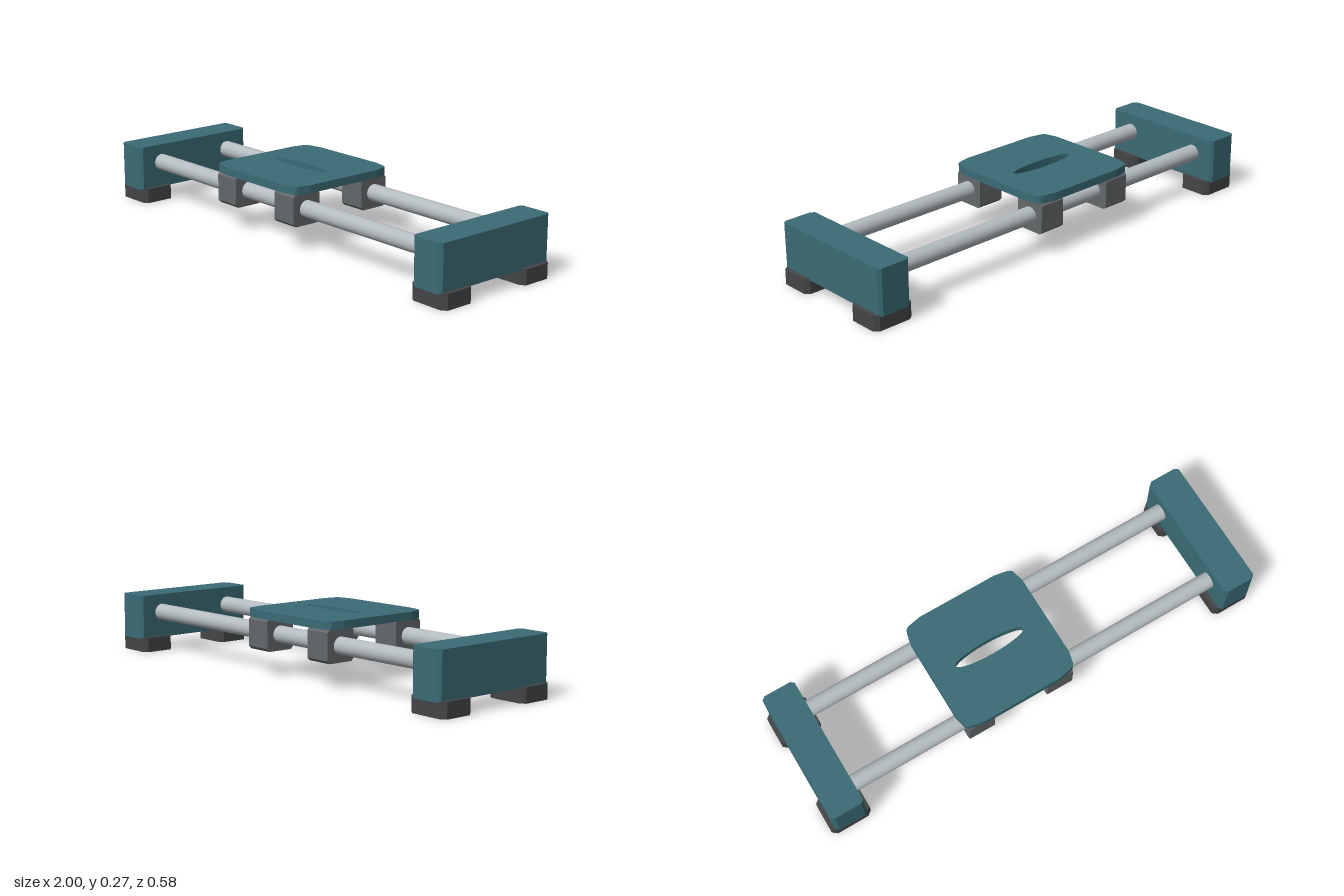
import * as THREE from 'three';

const mat = (color) => new THREE.MeshStandardMaterial({ color });

// Rectangle outline with cut corners (cx along x, cy along y)
function cutRect(w, h, cx, cy) {
  const x = w / 2, y = h / 2;
  return new THREE.Shape([
    [-x + cx, -y], [x - cx, -y], [x, -y + cy], [x, y - cy],
    [x - cx, y], [-x + cx, y], [-x, y - cy], [-x, -y + cy],
  ].map(([a, b]) => new THREE.Vector2(a, b)));
}

// Extrude a plan outline upward from y0 to y1
function slab(shape, y0, y1) {
  const g = new THREE.ExtrudeGeometry(shape, { depth: y1 - y0, bevelEnabled: false, curveSegments: 24 });
  return g.rotateX(-Math.PI / 2).translate(0, y0, 0);
}

export function createModel() {
  const model = new THREE.Group();
  const teal = mat(0x3a6b75), steel = mat(0xb4bcc0), rubber = mat(0x434547), bearingGrey = mat(0x64686a);
  const add = (name, geo, material, x = 0, y = 0, z = 0) => {
    const m = new THREE.Mesh(geo, material);
    m.name = name;
    m.position.set(x, y, z);
    model.add(m);
  };

  const railY = 0.17, railZ = 0.18, carriageX = -0.103;

  // End blocks, each on two feet
  const blockGeo = slab(cutRect(0.144, 0.578, 0.014, 0.012), 0.058, 0.248);
  const footGeo = slab(cutRect(0.178, 0.149, 0.02, 0.016), 0, 0.063);
  for (const sx of [-1, 1]) {
    add('endBlock', blockGeo, teal, sx * 0.911);
    for (const sz of [-1, 1]) add('foot', footGeo, rubber, sx * 0.911, 0, sz * 0.2075);
  }

  // Two round rails, and the bearings that slide on them
  const railGeo = new THREE.CylinderGeometry(0.035, 0.035, 1.72, 32).rotateZ(Math.PI / 2);
  const bearingGeo = new THREE.ExtrudeGeometry(cutRect(0.134, 0.134, 0.012, 0.012), { depth: 0.118, bevelEnabled: false });
  bearingGeo.translate(0, 0, -0.059).rotateY(Math.PI / 2);
  for (const sz of [-1, 1]) {
    add('rail', railGeo, steel, 0, railY, sz * railZ);
    for (const sx of [-1, 1]) add('bearing', bearingGeo, bearingGrey, carriageX + sx * 0.182, railY, sz * railZ);
  }

  // Carriage plate: softly cut corners and an elliptical slot
  const corner = [[0.262, 0.18], [0.249, 0.232], [0.241, 0.241], [0.226, 0.246], [0.175, 0.256]];
  const back = [...corner].reverse();
  const plate = new THREE.Shape([
    ...corner,
    ...back.map(([x, y]) => [-x, y]),
    ...corner.map(([x, y]) => [-x, -y]),
    ...back.map(([x, y]) => [x, -y]),
  ].map(([x, y]) => new THREE.Vector2(x, y)));
  const slot = new THREE.Path();
  slot.absellipse(0, 0, 0.157, 0.03, 0, Math.PI * 2, true);
  plate.holes.push(slot);
  add('carriagePlate', slab(plate, 0.236, 0.269), teal, carriageX);

  return model;
}
